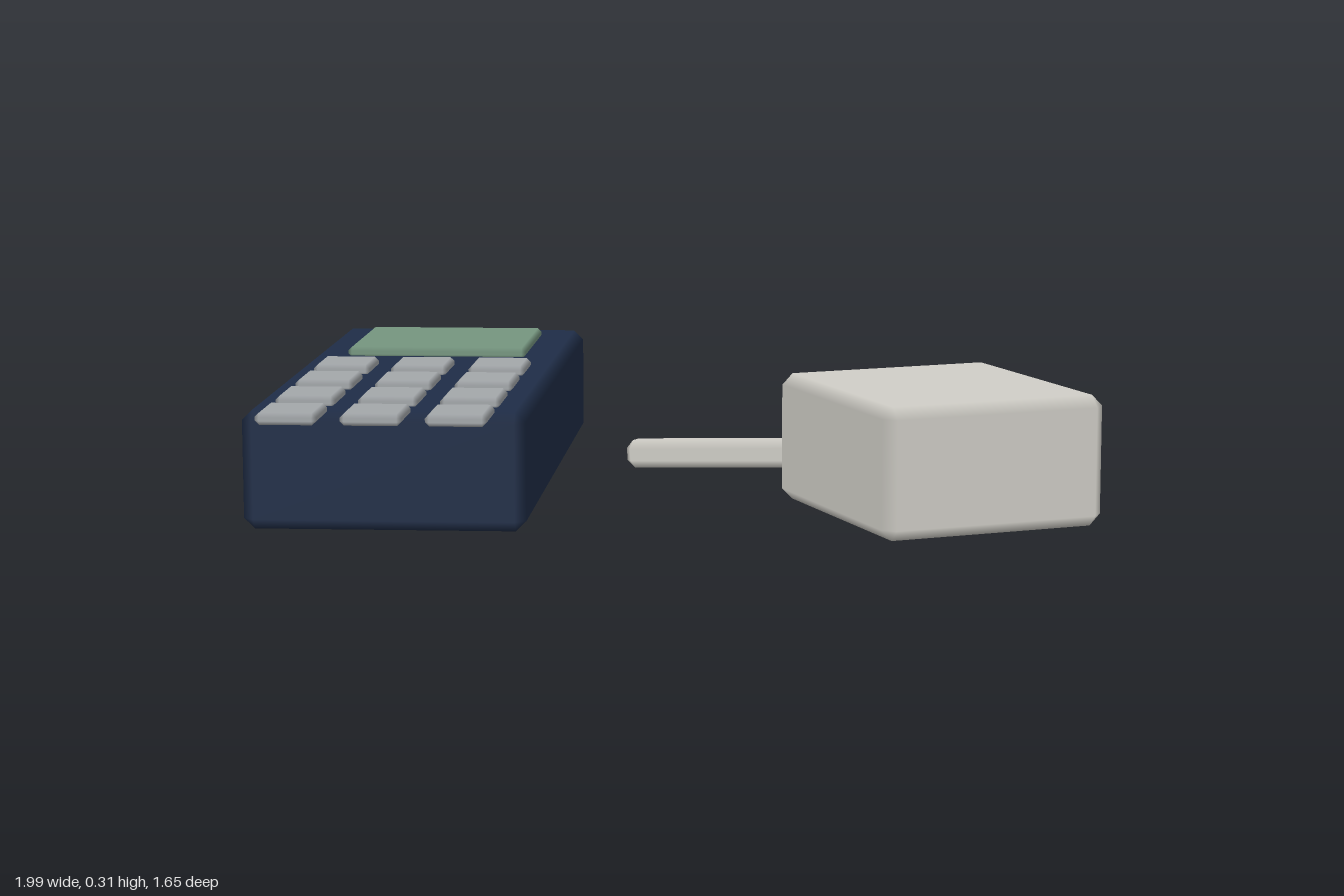
import * as THREE from 'three';
import { ConvexGeometry } from 'three/addons/geometries/ConvexGeometry.js';

const paint = (color) => new THREE.MeshStandardMaterial({ color });

// Box with a single chamfer on every edge; flat main faces, shading blends over the chamfers.
function chamferBox(w, h, d, b) {
  const half = [w / 2, h / 2, d / 2];
  const points = [];
  for (let axis = 0; axis < 3; axis++) {
    for (const sx of [-1, 1]) for (const sy of [-1, 1]) for (const sz of [-1, 1]) {
      const s = [sx, sy, sz];
      points.push(new THREE.Vector3(...half.map((v, i) => s[i] * (i === axis ? v : v - b))));
    }
  }
  const geometry = new ConvexGeometry(points);
  const { position, normal } = geometry.attributes;
  for (let i = 0; i < position.count; i++) {
    const p = [position.getX(i), position.getY(i), position.getZ(i)];
    const n = p.map((v, k) => (Math.abs(v) > half[k] - b / 2 ? Math.sign(v) : 0));
    normal.setXYZ(i, ...n);
  }
  return geometry;
}

export function createModel() {
  const model = new THREE.Group();
  const navy = paint(0x1f2d47);
  const green = paint(0x75957f);
  const grey = paint(0xa3a7aa);
  const ivory = paint(0xd0cec7);

  function add(parent, name, geometry, material, x, y, z) {
    const mesh = new THREE.Mesh(geometry, material);
    mesh.name = name;
    mesh.position.set(x, y, z);
    parent.add(mesh);
    return mesh;
  }

  // Handset with screen
  const handset = new THREE.Group();
  handset.name = 'handset';
  model.add(handset);
  add(handset, 'body', chamferBox(0.66, 0.28, 1.48, 0.025), navy, -0.67, 0.145, -0.09);
  add(handset, 'screen', chamferBox(0.46, 0.028, 0.41, 0.01), green, -0.67, 0.294, -0.475);

  // Keypad: the last row overhangs the end of the body
  const keypad = new THREE.Group();
  keypad.name = 'keypad';
  handset.add(keypad);
  const key = chamferBox(0.14, 0.028, 0.165, 0.01);
  for (let row = 0; row < 4; row++) {
    for (let col = 0; col < 3; col++) {
      add(keypad, 'key', key, grey, -0.67 + (col - 1) * 0.193, 0.294, -0.027 + row * 0.256);
    }
  }

  // Separate block, turned on the ground
  const block = add(model, 'block', chamferBox(0.565, 0.31, 0.63, 0.027), ivory, 0.613, 0.155, 0.293);
  block.rotation.y = 0.436;

  // Octagonal rod running from its free tip into the block
  const tip = new THREE.Vector3(-0.155, 0.07, -0.085);
  const root = new THREE.Vector3(0.36, 0.118, 0.16);
  const middle = tip.clone().lerp(root, 0.5);
  const rod = add(model, 'rod', chamferBox(0.07, 0.07, tip.distanceTo(root), 0.02), ivory,
    middle.x, middle.y, middle.z);
  rod.lookAt(root);

  return model;
}
